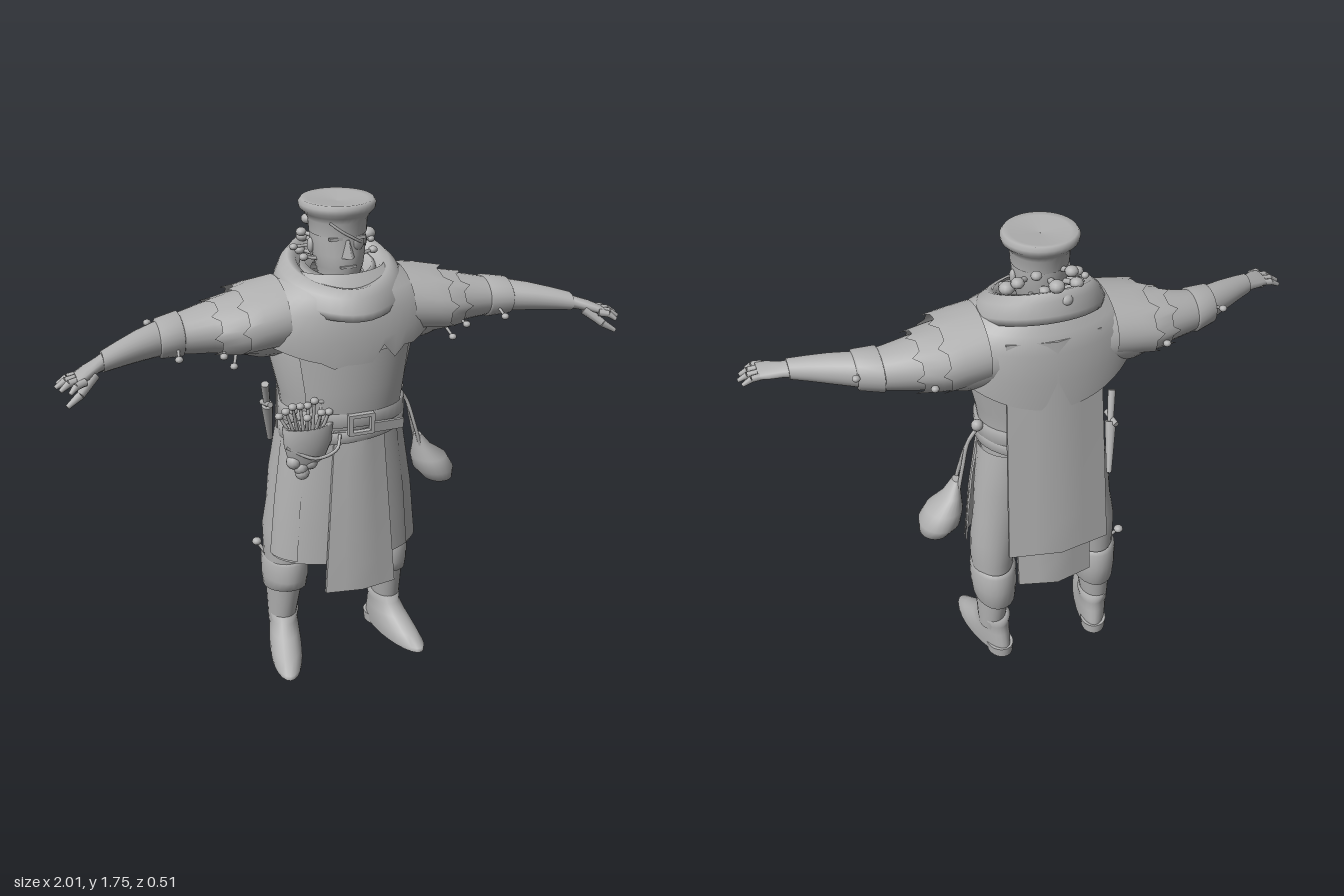
import * as THREE from 'three';

const grey = new THREE.MeshStandardMaterial({ color: 0xb0b0b0, side: THREE.DoubleSide });
grey.name = 'plain grey';
const V = (a) => new THREE.Vector3(...a);

function add(parent, name, geo) {
  const m = new THREE.Mesh(geo, grey);
  m.name = name;
  parent.add(m);
  return m;
}

// Skin elliptical sections [x, y, z, r1, r2]. Axis 'y': r1 along x, r2 along z, t = 0 at the front.
// Axis 'x': r1 along y, r2 along z, t = 0 at the top. An optional arc [t0, t1] makes an open shell.
function loft(secs, { axis = 'y', n = 24, arc, cap = false, warp } = {}) {
  const pos = [], idx = [], [t0, t1] = arc || [0, Math.PI * 2];
  const cols = arc ? n + 1 : n;
  secs.forEach(([x, y, z, a, b], i) => {
    for (let j = 0; j < cols; j++) {
      const t = t0 + (t1 - t0) * j / n, s = Math.sin(t), c = Math.cos(t);
      const p = axis === 'y' ? V([x + a * s, y, z + b * c]) : V([x, y + a * c, z + b * s]);
      if (warp) warp(p, i, t, j);
      pos.push(p.x, p.y, p.z);
    }
  });
  for (let i = 0; i < secs.length - 1; i++) for (let j = 0; j < n; j++) {
    const k = (j + 1) % cols, a = i * cols + j, b = i * cols + k, c = b + cols, d = a + cols;
    idx.push(a, b, c, a, c, d);
  }
  if (cap) for (const i of [0, secs.length - 1]) {
    const o = pos.length / 3;
    pos.push(...pos.slice(i * cols * 3, (i + 1) * cols * 3), ...secs[i].slice(0, 3));
    for (let j = 0; j < n; j++) {
      const k = (j + 1) % cols;
      if (i) idx.push(o + j, o + k, o + cols); else idx.push(o + k, o + j, o + cols);
    }
  }
  const g = new THREE.BufferGeometry();
  g.setAttribute('position', new THREE.Float32BufferAttribute(pos, 3));
  g.setIndex(idx);
  g.computeVertexNormals();
  return g;
}

// Hanging cloth panel; top and bottom are [y, z, xMin, xMax], bulge pushes the middle outwards
function panel([y0, z0, a0, b0], [y1, z1, a1, b1], thick, bulge) {
  const g = new THREE.BoxGeometry(1, 1, 1, 4, 6, 1), p = g.attributes.position, L = THREE.MathUtils.lerp;
  for (let i = 0; i < p.count; i++) {
    const u = p.getX(i) + 0.5, v = 0.5 - p.getY(i);
    p.setXYZ(i, L(L(a0, b0, u), L(a1, b1, u), v), L(y0, y1, v),
      L(z0, z1, v) + p.getZ(i) * thick + bulge * (1 - Math.abs(2 * u - 1)));
  }
  g.computeVertexNormals();
  return g;
}

function rod(parent, name, a, b, r0, r1 = r0, sides = 8) {
  const A = V(a), B = V(b), d = B.clone().sub(A);
  const m = add(parent, name, new THREE.CylinderGeometry(r1, r0, d.length(), sides));
  m.position.copy(A).add(B).multiplyScalar(0.5);
  m.quaternion.setFromUnitVectors(V([0, 1, 0]), d.normalize());
  return m;
}

function ball(parent, name, p, r, s = [1, 1, 1]) {
  const m = add(parent, name, new THREE.SphereGeometry(r, 12, 8));
  m.position.set(...p);
  m.scale.set(...s);
  return m;
}

function mushroom(parent, a, b, r = 0.016) {
  const g = new THREE.Group();
  g.name = 'mushroom';
  parent.add(g);
  rod(g, 'mushroomStem', a, b, r * 0.45, r * 0.35, 6);
  ball(g, 'mushroomCap', b, r, [1, 0.8, 1]);
}

function cord(parent, name, pts, r) {
  add(parent, name, new THREE.TubeGeometry(new THREE.CatmullRomCurve3(pts.map(V)), 16, r, 6));
}

function buildLeg(root, s) {
  const leg = new THREE.Group();
  leg.name = s > 0 ? 'leftLeg' : 'rightLeg';
  root.add(leg);
  add(leg, 'trouserLeg', loft([[.215, .12, -.04, .048, .062], [.205, .28, -.035, .065, .085], [.2, .45, -.025, .08, .095],
    [.19, .55, -.03, .09, .095], [.17, .65, -.025, .095, .09], [.14, .78, -.02, .115, .1], [.11, .95, 0, .12, .12]]
    .map(([x, ...q]) => [x * s, ...q])));
  add(leg, 'bootCuff', loft([[.2, .285, -.035, .066, .09], [.2, .28, -.035, .079, .108], [.2, .34, -.035, .085, .114],
    [.2, .41, -.033, .085, .112], [.2, .42, -.033, .07, .095]].map(([x, ...q]) => [x * s, ...q]),
  { warp: (p, i) => { if (i < 2) p.y += (p.z + .05) * .2; } }));
  const foot = new THREE.Group();
  foot.name = 'boot';
  foot.position.x = s * .215;
  foot.rotation.y = s * .22;
  leg.add(foot);
  add(foot, 'shoe', loft([[0, .012, .04, .058, .18], [0, .03, .04, .06, .18], [0, .06, .015, .06, .15], [0, .1, -.02, .056, .105],
    [0, .135, -.04, .052, .078], [0, .165, -.045, .058, .078], [0, .168, -.045, .045, .06]], { cap: true }));
  add(foot, 'heel', loft([[0, 0, -.085, .046, .058], [0, .04, -.085, .05, .06]], { cap: true }));
}

function buildArm(root, s) {
  const arm = new THREE.Group();
  arm.name = s > 0 ? 'leftArm' : 'rightArm';
  root.add(arm);
  const flip = (secs) => secs.map(([x, ...q]) => [x * s, ...q]);
  add(arm, 'sleeve', loft(flip([[.18, 1.36, -.01, .13, .15], [.3, 1.355, -.01, .12, .155], [.38, 1.35, -.015, .095, .125],
    [.46, 1.35, -.015, .084, .105], [.54, 1.345, -.008, .072, .085], [.6, 1.345, 0, .06, .074], [.65, 1.345, .025, .056, .066],
    [.71, 1.343, .053, .05, .06], [.78, 1.337, .088, .041, .05], [.84, 1.33, .118, .033, .042]]), { axis: 'x', cap: true }));
  add(arm, 'elbowBand', loft(flip([[.555, 1.345, -.005, .066, .082], [.56, 1.345, -.005, .075, .092],
    [.635, 1.345, .015, .066, .08], [.64, 1.345, .017, .056, .07]]), { axis: 'x' }));
  // Overlapping jagged shoulder layers
  const jag = (p, i, t, j) => { if (i === 2) p.x += s * (j % 4 === 0 ? .022 : -.006); };
  add(arm, 'shoulderLayer', loft(flip([[.22, 1.38, 0, .125, .17], [.31, 1.37, -.002, .12, .175], [.365, 1.36, -.005, .118, .172]]),
    { axis: 'x', arc: [-2.1, 2.1], warp: jag }));
  add(arm, 'lowerShoulderLayer', loft(flip([[.3, 1.355, -.005, .112, .15], [.38, 1.352, -.008, .105, .142], [.445, 1.35, -.01, .095, .122]]),
    { axis: 'x', arc: [-2.3, 2.3], warp: jag }));
  // Hand
  add(arm, 'palm', loft(flip([[.82, 1.333, .108, .03, .036], [.86, 1.325, .13, .022, .04], [.9, 1.316, .155, .02, .05],
    [.935, 1.306, .175, .015, .05]]), { axis: 'x', n: 12, cap: true }));
  const P = ([x, y, z]) => [x * s, y, z];
  [[.925, .138, .99, .14], [.935, .163, 1, .172], [.932, .188, .99, .207], [.92, .212, .965, .24]].forEach(([x, z, tx, tz]) => {
    const mid = [(x + tx) / 2, 1.303, (z + tz) / 2];
    rod(arm, 'finger', P([x - .01, 1.308, z]), P(mid), .0125, .012);
    rod(arm, 'fingerTip', P(mid), P([tx, 1.285, tz]), .012, .007);
  });
  rod(arm, 'thumb', P([.875, 1.31, .17]), P([.93, 1.265, .21]), .018, .014);
  rod(arm, 'thumbTip', P([.93, 1.265, .21]), P([.975, 1.237, .225]), .014, .008);
  // Small growths on the sleeve
  [[[.41, 1.33, -.1], [.41, 1.32, -.145]], [[.42, 1.31, .06], [.44, 1.29, .115]], [[.38, 1.28, .05], [.4, 1.24, .09]],
    [[.58, 1.33, .06], [.59, 1.3, .115]], [[.63, 1.36, -.03], [.65, 1.37, -.075]]]
    .forEach(([a, b]) => mushroom(arm, P(a), P(b), .014));
}

function buildHead(root) {
  const head = new THREE.Group();
  head.name = 'head';
  root.add(head);
  add(head, 'face', loft([[0, 1.42, 0, .075, .08], [0, 1.5, .01, .07, .085], [0, 1.535, .012, .08, .095], [0, 1.58, .005, .09, .1],
    [0, 1.63, 0, .094, .1], [0, 1.68, 0, .094, .1]]));
  add(head, 'hat', loft([[0, 1.645, 0, .097, .103], [0, 1.69, -.002, .1, .107], [0, 1.71, -.003, .112, .118], [0, 1.725, -.004, .128, .13],
    [0, 1.742, -.005, .131, .133], [0, 1.755, -.005, .122, .124], [0, 1.752, -.005, .1, .105], [0, 1.742, -.005, .001, .001]], { n: 32 }));
  rod(head, 'nose', [0, 1.575, .1], [0, 1.635, .095], .024, .008, 4).scale.z = 1.5;
  add(head, 'mouth', new THREE.BoxGeometry(.055, .008, .01)).position.set(0, 1.545, .105);
  for (const s of [-1, 1]) {
    ball(head, 'ear', [s * .095, 1.6, -.005], .022, [.5, 1.2, .8]);
    add(head, 'brow', new THREE.BoxGeometry(.045, .01, .012)).position.set(s * .04, 1.64, .092);
    mushroom(head, [s * .08, 1.56, .02], [s * .125, 1.565, .01], .016);
    mushroom(head, [s * .08, 1.59, -.04], [s * .14, 1.585, -.05], .014);
  }
  const patch = ball(head, 'eyePatch', [.042, 1.62, .091], .024, [1, 1, .25]);
  patch.rotation.y = .4;
  cord(head, 'patchStrap', [[-.06, 1.695, .088], [-.02, 1.665, .102], [.045, 1.625, .094], [.095, 1.585, .01]], .005);
  // Cluster of mushrooms on the back of the head
  for (let i = 0; i < 11; i++) {
    const t = -1.1 + (i % 6) * .44 + (i > 5 ? .2 : 0), y = 1.57 + (i > 5 ? .055 : 0) + (i % 2) * .03, r = .13 + (i % 3) * .012;
    mushroom(head, [.08 * Math.sin(t), y - .01, -.08 * Math.cos(t)], [r * Math.sin(t), y, -r * Math.cos(t)], .019 + (i % 3) * .004);
  }
}

function buildClothes(root) {
  add(root, 'torso', loft([[0, .88, .02, .21, .15], [0, 1, .03, .212, .165], [0, 1.1, .032, .225, .172], [0, 1.25, .025, .26, .178],
    [0, 1.4, 0, .27, .165], [0, 1.5, 0, .16, .12]], { n: 32 }));
  add(root, 'chestPlate', loft([[0, 1.04, .035, .222, .175], [0, 1.14, .038, .235, .183], [0, 1.28, .035, .26, .183]], { arc: [-.85, .95] }));
  // Shoulder mantle with a torn front hem
  add(root, 'mantle', loft([[0, 1.24, .008, .345, .212], [0, 1.32, .01, .35, .213], [0, 1.41, .008, .325, .203], [0, 1.465, .005, .27, .182],
    [0, 1.53, 0, .16, .13]], { n: 48, warp: (p, i, t, j) => {
    const k = [1, .6, .25, .1, 0][i], s = Math.sin(t) ** 2;
    p.y += k * (.1 * s - .055 * Math.max(0, -Math.cos(t)));
    if (i === 0) p.y += { 2: .05, 3: -.01, 4: .015, 46: -.015 }[j] || 0;
  } }));
  const drape = (p, i, t) => {
    p.y -= .055 * Math.cos(t);
    p.z += .03 * Math.max(0, Math.cos(t)) ** 6;
  };
  add(root, 'cowl', loft([[0, 1.46, .015, .2, .18], [0, 1.455, .015, .222, .2], [0, 1.48, .015, .226, .2], [0, 1.525, .01, .205, .18],
    [0, 1.552, .005, .175, .16], [0, 1.545, 0, .145, .135], [0, 1.48, 0, .115, .11]], { n: 40, warp: drape }));
  add(root, 'scarf', loft([[0, 1.45, 0, .14, .13], [0, 1.53, 0, .13, .125], [0, 1.54, 0, .115, .115], [0, 1.5, 0, .09, .1]],
    { warp: (p, i, t) => { p.y -= .025 * Math.cos(t); } }));
  // Skirt halves, front tabard, back panel and long cape
  for (const s of [-1, 1]) {
    add(root, 'skirtPanel', loft([[0, .47, .05, .275, .155], [0, .62, .05, .262, .153], [0, .78, .045, .245, .155], [0, .96, .035, .218, .162]],
      { arc: [s * .3, s * 1.6] }));
    add(root, 'skirtSidePanel', loft([[0, .48, .05, .281, .16], [0, .7, .048, .26, .158], [0, .95, .035, .224, .166]],
      { arc: [s * .85, s * 1.55] }));
  }
  add(root, 'frontTabard', panel([.99, .185, -.08, .1], [.37, .217, -.125, .14], .014, .022));
  add(root, 'backPanel', panel([1, -.115, -.14, .14], [.39, -.16, -.14, .14], .014, -.035));
  add(root, 'cape', panel([1.44, -.15, -.16, .17], [.59, -.22, -.18, .195], .012, -.035));
}

function buildBelt(root) {
  const belt = new THREE.Group();
  belt.name = 'belt';
  root.add(belt);
  const ring = (y, h, tilt) => loft([[0, y, .033, .216, .17], [0, y, .033, .23, .184], [0, y + h, .033, .23, .184], [0, y + h, .033, .216, .17]],
    { n: 36, warp: (p) => { p.y += p.x * tilt + p.z * .04; } });
  add(belt, 'upperBelt', ring(1, .05, -.03));
  add(belt, 'lowerBelt', ring(.945, .038, .06));
  for (const x of [-.035, .045]) add(belt, 'buckleSide', new THREE.BoxGeometry(.014, .075, .02)).position.set(x, 1.022, .222);
  for (const y of [.99, 1.054]) add(belt, 'buckleBar', new THREE.BoxGeometry(.09, .012, .02)).position.set(.005, y, .222);
  const tail = add(belt, 'strapEnd', new THREE.BoxGeometry(.13, .035, .012));
  tail.position.set(.11, .995, .206);
  tail.rotation.set(0, .25, -.12);
  // Forager's basket
  add(belt, 'basket', loft([[-.19, .885, .195, .035, .02], [-.185, .91, .195, .065, .035], [-.18, .97, .195, .085, .045], [-.18, 1.035, .195, .09, .048],
    [-.18, 1.035, .195, .078, .038], [-.18, 1, .195, .001, .001]], { cap: true }));
  [[-.21, .885], [-.175, .9], [-.205, .865], [-.235, .91]].forEach(([x, y]) => ball(belt, 'basketFruit', [x, y, .205], .026));
  for (let i = 0; i < 11; i++) {
    const x = -.275 + i * .017, y = 1.075 + (i * 7 % 5) * .012;
    mushroom(belt, [x * .6 - .07, 1, .195], [x, y, .2 + (i % 3 - 1) * .022], .015);
  }
  cord(belt, 'basketCord', [[-.07, .99, .215], [-.09, .95, .24], [-.17, .93, .245], [-.26, .97, .21]], .006);
  // Hanging pouch
  for (const z of [-.035, .015]) cord(belt, 'pouchCord', [[.225, 1.04, -.01], [.27, .98, -.012], [.3, .88, z * .6 - .006], [.325, .79, z - .01]], .007);
  add(belt, 'pouch', loft([[.415, .62, -.03, .03, .03], [.415, .635, -.03, .055, .065], [.395, .68, -.03, .075, .09], [.375, .73, -.03, .067, .075],
    [.345, .775, -.025, .035, .045], [.322, .83, -.015, .014, .022]], { cap: true }));
  ball(belt, 'pouchKnot', [.235, 1.04, -.01], .022);
  // Sheathed dagger
  rod(belt, 'sheath', [-.235, 1, -.09], [-.205, .83, -.165], .022, .01);
  rod(belt, 'daggerGuard', [-.245, 1, -.12], [-.235, 1.015, -.05], .011);
  rod(belt, 'daggerGrip', [-.235, 1, -.09], [-.255, 1.1, -.045], .012, .015);
}

export function createModel() {
  const root = new THREE.Group();
  root.name = 'mushroomForager';
  for (const s of [-1, 1]) {
    buildLeg(root, s);
    buildArm(root, s);
  }
  buildHead(root);
  buildClothes(root);
  buildBelt(root);
  // Mushrooms growing at the knees
  mushroom(root, [.17, .41, .05], [.155, .44, .095], .018);
  mushroom(root, [.18, .42, .05], [.175, .475, .085], .012);
  mushroom(root, [-.27, .42, -.05], [-.295, .46, -.07], .018);
  return root;
}
